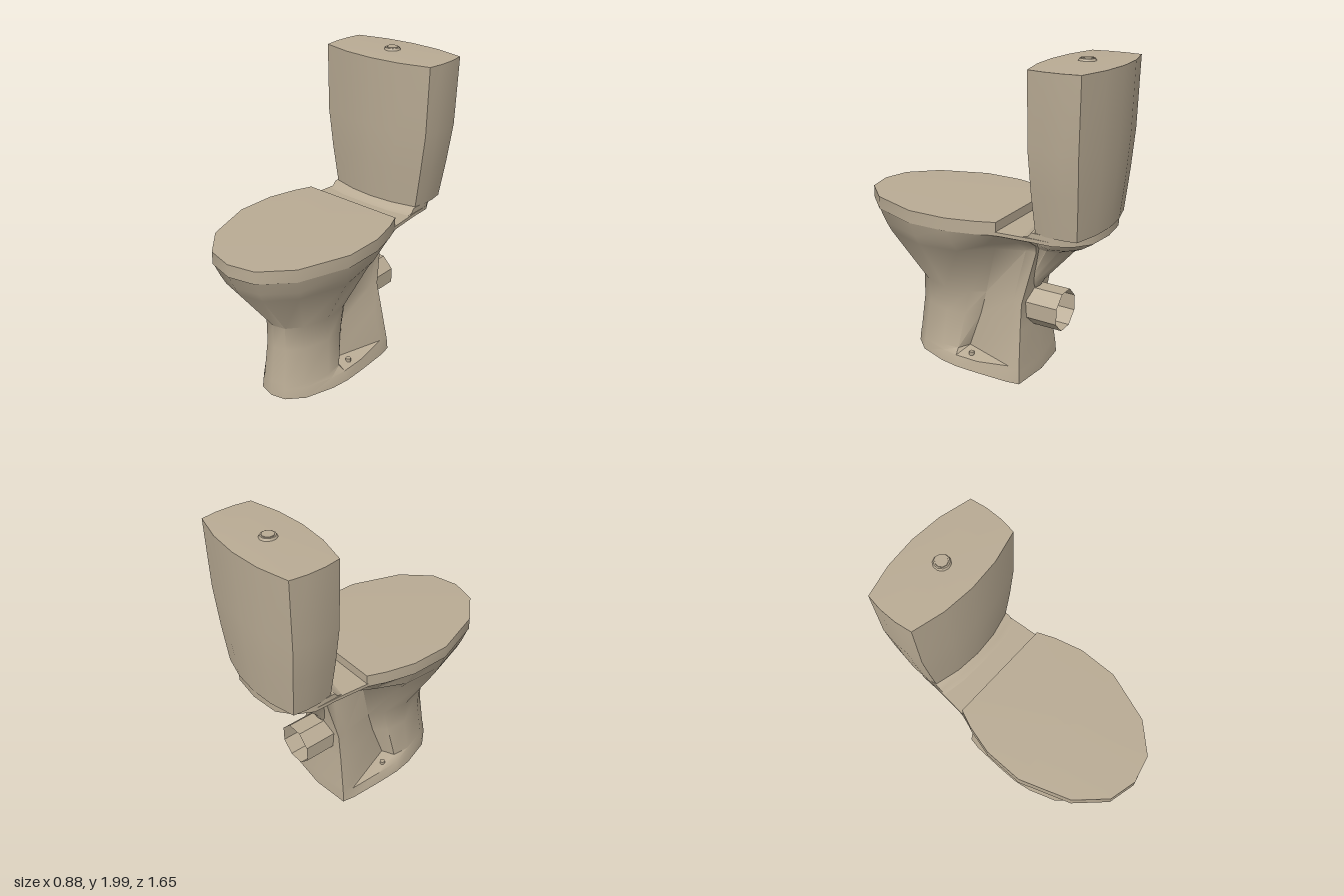
import * as THREE from 'three';
import { toCreasedNormals } from 'three/addons/utils/BufferGeometryUtils.js';

const material = new THREE.MeshStandardMaterial({ color: 0xb9ab94, side: THREE.DoubleSide });

// Mirrors a half outline (front centre -> +x side -> back centre) into a closed ring at height y.
function ring(y, half) {
  const mirrored = half.slice(1, -1).reverse().map(([x, z]) => [-x, z]);
  return [...half, ...mirrored].map(([x, z]) => [x, y, z]);
}

// Rounded front: from the tip at zTip out to the widest point (w, zWide).
function nose(zTip, w, zWide) {
  return [[0, 1], [0.39, 0.92], [0.75, 0.6], [1, 0]].map(([u, v]) => [u * w, zWide + v * (zTip - zWide)]);
}

// Skins a stack of rings; top and bottom are optional heights of the cap centres.
function loft(rings, { top = null, bottom = null, crease = 0.6 } = {}) {
  const n = rings[0].length;
  const pos = rings.flat();
  const index = [];
  for (let i = 0; i < rings.length - 1; i++) {
    for (let j = 0; j < n; j++) {
      const a = i * n + j, b = i * n + (j + 1) % n;
      index.push(a, b, b + n, a, b + n, a + n);
    }
  }
  const cap = (r, y, up) => {
    const zs = rings[r].map((p) => p[2]);
    const c = pos.push([0, y, (Math.min(...zs) + Math.max(...zs)) / 2]) - 1;
    for (let j = 0; j < n; j++) {
      const a = r * n + j, b = r * n + (j + 1) % n;
      index.push(c, up ? a : b, up ? b : a);
    }
  };
  if (top !== null) cap(rings.length - 1, top, true);
  if (bottom !== null) cap(0, bottom, false);
  const geo = new THREE.BufferGeometry();
  geo.setAttribute('position', new THREE.Float32BufferAttribute(pos.flat(), 3));
  geo.setIndex(index);
  return toCreasedNormals(geo, crease);
}

export function createModel() {
  const group = new THREE.Group();
  const add = (name, geo, x = 0, y = 0, z = 0) => {
    const mesh = new THREE.Mesh(geo, material);
    mesh.name = name;
    mesh.position.set(x, y, z);
    group.add(mesh);
  };

  // Pedestal and bowl in one skin, open at the floor. Each section gives its height,
  // the rounded front, then column rear, recess, spine side, spine corner and back centre.
  const section = (y, front, ...rear) => ring(y, [...nose(...front), ...rear]);
  add('pedestalAndBowl', loft([
    section(0.01, [0.53, 0.25, 0.22], [0.268, 0.1], [0.268, -0.05], [0.26, -0.27], [0.245, -0.35], [0, -0.375]),
    section(0.08, [0.525, 0.235, 0.22], [0.25, 0.11], [0.25, -0.05], [0.245, -0.27], [0.24, -0.345], [0, -0.37]),
    section(0.11, [0.52, 0.22, 0.23], [0.21, 0.12], [0.13, 0.08], [0.238, -0.27], [0.236, -0.343], [0, -0.365]),
    section(0.35, [0.49, 0.2, 0.21], [0.185, 0.08], [0.125, 0], [0.19, -0.26], [0.195, -0.325], [0, -0.345]),
    section(0.51, [0.49, 0.2, 0.22], [0.18, 0.05], [0.125, -0.04], [0.155, -0.25], [0.165, -0.315], [0, -0.33]),
    section(0.85, [0.75, 0.385, 0.27], [0.35, 0.02], [0.2, -0.15], [0.13, -0.32], [0.13, -0.39], [0, -0.4]),
    section(0.91, [0.78, 0.41, 0.285], [0.395, 0.03], [0.31, -0.15], [0.18, -0.29], [0.17, -0.41], [0, -0.41]),
    section(1.0, [0.82, 0.437, 0.3], [0.432, 0.05], [0.387, -0.13], [0.347, -0.25], [0.33, -0.45], [0, -0.45]),
  ], { top: 1.0, crease: 0.75 }));

  // Closed seat lid
  const lid = [...nose(0.825, 0.44, 0.3), [0.437, 0.05], [0.39, -0.13], [0.345, -0.24], [0, -0.24]];
  add('seatLid', loft([ring(1.0, lid), ring(1.08, lid)], { top: 1.088, bottom: 1.0 }));

  // Shelf behind the lid, with a raised foot that carries the tank
  const shelfBack = [[0.325, -0.6], [0.27, -0.7], [0.18, -0.77], [0, -0.79]];
  const shelf = [[0, -0.23], [0.35, -0.23], [0.33, -0.46], ...shelfBack];
  add('shelf', loft([ring(1.0, shelf), ring(1.022, shelf)], { top: 1.022, bottom: 1.0 }));
  const footRing = (y, z) => ring(y, [[0, z], [0.18, z - 0.005], [0.325, z - 0.03], ...shelfBack]);
  add('tankFoot', loft([footRing(1.02, -0.37), footRing(1.03, -0.41), footRing(1.055, -0.43)], { top: 1.055, crease: 1 }));

  // Tapered tank with bowed front and back
  const tankFront = [[0, 0.218], [0.195, 0.203], [0.39, 0.155], [0.405, 0.055]];
  const tankHalf = [...tankFront, ...tankFront.map(([x, z]) => [x, -z]).reverse()];
  const tankRing = (y, sx, sz) => ring(y, tankHalf.map(([x, z]) => [x * sx, -0.612 + z * sz]));
  add('tank', loft([tankRing(1.05, 0.815, 0.83), tankRing(1.3, 0.905, 0.92), tankRing(1.55, 0.98, 0.975), tankRing(1.975, 1, 1)],
    { top: 1.984, bottom: 1.05 }));

  // Flush button
  add('buttonRing', new THREE.CylinderGeometry(0.045, 0.056, 0.02, 10), 0, 1.985, -0.612);
  add('button', new THREE.CylinderGeometry(0.036, 0.038, 0.016, 10), 0, 1.992, -0.612);

  // Water duct swelling out of the spine towards the tank
  const ductRing = (y, w, zBack, zFront) => {
    const half = [];
    for (let i = 0; i <= 6; i++) {
      const a = (i / 6) * Math.PI;
      half.push([w * Math.sin(a), (zBack + zFront) / 2 + Math.cos(a) * (zFront - zBack) / 2]);
    }
    return ring(y, half);
  };
  add('waterDuct', loft([
    ductRing(0.56, 0.07, -0.34, -0.25), ductRing(0.63, 0.08, -0.38, -0.27), ductRing(0.87, 0.12, -0.59, -0.31),
    ductRing(0.92, 0.2, -0.69, -0.34), ductRing(1.0, 0.23, -0.735, -0.36),
  ], { crease: 0.9 }));

  // Open outlet pipe at the back
  const pipe = new THREE.CylinderGeometry(0.132, 0.132, 0.23, 8, 1, true);
  pipe.rotateY(Math.PI / 8).rotateX(Math.PI / 2);
  add('outletPipe', toCreasedNormals(pipe, 0.5), 0, 0.46, -0.415);

  // Floor bolts on the side ledges
  for (const side of [-1, 1]) {
    add('floorBolt', new THREE.CylinderGeometry(0.017, 0.017, 0.045, 8), side * 0.205, 0.09, 0.02);
  }
  return group;
}
